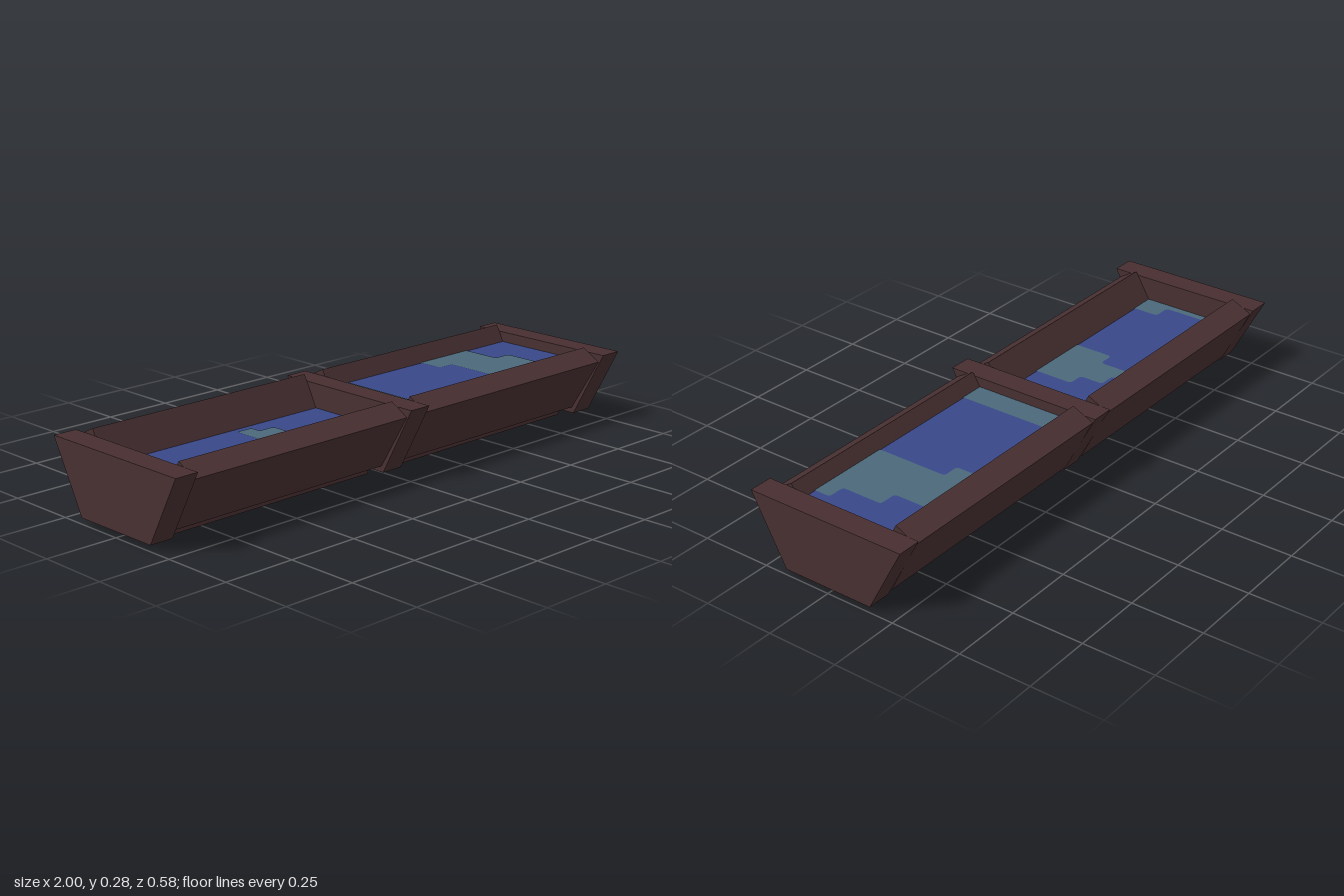
import * as THREE from 'three';

const wood = new THREE.MeshStandardMaterial({ color: 0x482f31 });
wood.name = 'darkWood';
const waterBlue = new THREE.MeshStandardMaterial({ color: 0x384888, side: THREE.DoubleSide });
waterBlue.name = 'waterBlue';
const algaeTeal = new THREE.MeshStandardMaterial({ color: 0x4a687a, side: THREE.DoubleSide });
algaeTeal.name = 'algaeTeal';

// Solid bar along x, from a cross-section given as [z, y] corners
function bar(name, profile, x0, x1) {
  const shape = new THREE.Shape(profile.map(([z, y]) => new THREE.Vector2(-z, y)));
  const geo = new THREE.ExtrudeGeometry(shape, { depth: x1 - x0, bevelEnabled: false });
  geo.rotateY(Math.PI / 2).translate(x0, 0, 0);
  const mesh = new THREE.Mesh(geo, wood);
  mesh.name = name;
  return mesh;
}

// Flat horizontal patch from [x, z] corners, with softened corners
function patch(name, corners, y, material, radius = 0) {
  const pts = corners.map(([x, z]) => new THREE.Vector2(x, -z));
  const shape = new THREE.Shape();
  pts.forEach((p, i) => {
    const toward = (q) => p.clone().add(q.clone().sub(p).setLength(radius));
    const a = toward(pts[(i + pts.length - 1) % pts.length]);
    const b = toward(pts[(i + 1) % pts.length]);
    if (i === 0) shape.moveTo(a.x, a.y);
    else shape.lineTo(a.x, a.y);
    if (radius > 0) shape.quadraticCurveTo(p.x, p.y, b.x, b.y);
  });
  shape.closePath();
  const geo = new THREE.ShapeGeometry(shape, 3).rotateX(-Math.PI / 2).translate(0, y, 0);
  const mesh = new THREE.Mesh(geo, material);
  mesh.name = name;
  return mesh;
}

export function createModel() {
  const trough = new THREE.Group();
  trough.name = 'waterTrough';

  // Trapezoid walls: two ends and a divider
  const wall = [[-0.165, 0.02], [0.165, 0.02], [0.29, 0.255], [-0.29, 0.255]];
  [['rightEndWall', -1, -0.917], ['dividerWall', -0.041, 0.041], ['leftEndWall', 0.917, 1]]
    .forEach(([name, x0, x1]) => trough.add(bar(name, wall, x0, x1)));

  // Leaning side planks and the floor plank of each bay
  const front = [[0.157, 0.04], [0.27, 0.228], [0.203, 0.268], [0.09, 0.08]];
  const back = [[-0.178, 0.04], [-0.103, 0.077], [-0.205, 0.277], [-0.28, 0.24]];
  const floor = [[-0.13, 0], [0.096, 0], [0.096, 0.08], [-0.13, 0.08]];

  // Algae outlines on the water, per bay
  const bays = [
    {
      name: 'rightBay', x0: -0.917, x1: -0.041, level: 0.171,
      algae: [
        [[-0.917, -0.2], [-0.89, -0.2], [-0.89, 0.05], [-0.825, 0.05], [-0.825, 0.18], [-0.917, 0.18]],
        [[-0.41, -0.125], [-0.35, -0.125], [-0.35, -0.085], [-0.29, -0.085], [-0.29, 0.002],
          [-0.232, 0.002], [-0.232, 0.18], [-0.47, 0.18], [-0.47, 0.002], [-0.41, 0.002]],
      ],
    },
    {
      name: 'leftBay', x0: 0.041, x1: 0.917, level: 0.219,
      algae: [
        [[0.041, -0.21], [0.13, -0.21], [0.13, 0.2], [0.041, 0.2]],
        [[0.487, -0.21], [0.723, -0.21], [0.723, -0.035], [0.787, -0.035], [0.787, 0.115],
          [0.848, 0.115], [0.848, 0.2], [0.547, 0.2], [0.547, -0.085], [0.487, -0.085]],
      ],
    },
  ];

  for (const { name, x0, x1, level, algae } of bays) {
    const bay = new THREE.Group();
    bay.name = name;
    bay.add(bar('frontPlank', front, x0, x1));
    bay.add(bar('backPlank', back, x0, x1));
    bay.add(bar('floorPlank', floor, x0, x1));
    const surface = [[x0, -0.21], [x1, -0.21], [x1, 0.2], [x0, 0.2]];
    bay.add(patch('water', surface, level, waterBlue));
    algae.forEach((outline) => bay.add(patch('algaePatch', outline, level + 0.002, algaeTeal, 0.012)));
    trough.add(bay);
  }
  return trough;
}
